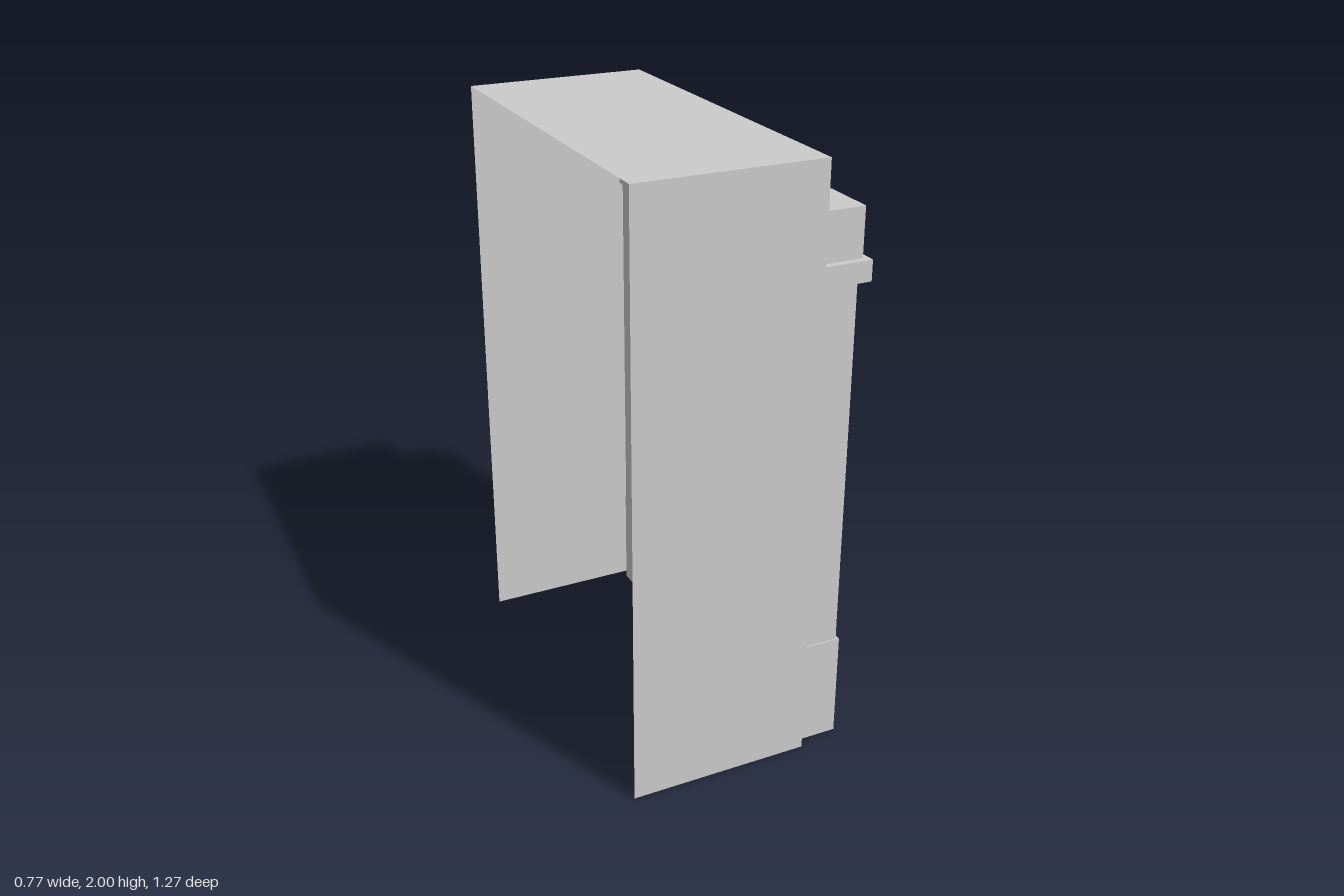
import * as THREE from 'three';

const material = new THREE.MeshStandardMaterial({ color: 0xcccccc, side: THREE.DoubleSide, flatShading: true });

const BACK = -0.39, FRONT = 0.22, HALF = 0.635, TOP = 2;
const PILLAR_BACK = 0.135;

function addMesh(parent, name, geometry) {
  const mesh = new THREE.Mesh(geometry, material);
  mesh.name = name;
  parent.add(mesh);
  return mesh;
}

// Flat four-cornered face, corners counter-clockwise seen from its front
function quad(...corners) {
  const g = new THREE.BufferGeometry();
  g.setAttribute('position', new THREE.Float32BufferAttribute(corners.flat(), 3));
  g.setIndex([0, 1, 2, 0, 2, 3]);
  g.computeVertexNormals();
  return g;
}

const corners = ({ half, y0, y1 }) => [[-half, y0], [half, y0], [half, y1], [-half, y1]];

// Sheet facing +x with optional rectangular openings
function sheet(x, rect, openings = []) {
  const toPoints = (r) => corners(r).map(([u, v]) => new THREE.Vector2(u, v));
  const shape = new THREE.Shape(toPoints(rect));
  openings.forEach((o) => shape.holes.push(new THREE.Path(toPoints(o).reverse())));
  return new THREE.ShapeGeometry(shape).rotateY(Math.PI / 2).translate(x, 0, 0);
}

// Four sides of a recess running back from xFront to xBack
function addReveal(parent, name, rect, xFront, xBack) {
  const pts = corners(rect);
  pts.forEach(([u, v], i) => {
    const [u2, v2] = pts[(i + 1) % 4];
    addMesh(parent, name, quad([xFront, v, -u], [xFront, v2, -u2], [xBack, v2, -u2], [xBack, v, -u]));
  });
}

// Solid from a (z, y) outline, reaching forward to xFront
function addProfile(parent, name, outline, xFront) {
  const shape = new THREE.Shape(outline.map(([z, y]) => new THREE.Vector2(-z, y)));
  const g = new THREE.ExtrudeGeometry(shape, { depth: xFront - PILLAR_BACK, bevelEnabled: false });
  addMesh(parent, name, g.rotateY(Math.PI / 2).translate(PILLAR_BACK, 0, 0));
}

function createPillar(side) {
  const pillar = new THREE.Group();
  pillar.name = side > 0 ? 'frontPillar' : 'rearPillar';
  const add = (name, outline, x) => addProfile(pillar, name, outline.map(([z, y]) => [z * side, y]), x);
  const block = (z0, z1, y0, y1) => [[z0, y0], [z1, y0], [z1, y1], [z0, y1]];
  // Base with a sloping toe on the inner side
  add('pillarBase', [[0.17, 0], [0.6, 0], [0.6, 0.365], [0.32, 0.365], [0.32, 0.21], [0.17, 0.09]], 0.365);
  add('pillarShaft', block(0.327, 0.595, 0.365, 1.61), 0.355);
  add('pillarCollar', block(0.3, 0.623, 1.61, 1.677), 0.385);
  // Capital leaning inward
  add('pillarCapital', [[0.32, 1.677], [0.6, 1.677], [0.6, 1.835], [0.28, 1.835]], 0.365);
  return pillar;
}

export function createModel() {
  const model = new THREE.Group();
  model.name = 'pillaredWallSection';

  // Housing, open at the back and below
  const housing = new THREE.Group();
  housing.name = 'housing';
  model.add(housing);
  addMesh(housing, 'roof', quad([BACK, TOP, HALF], [FRONT, TOP, HALF], [FRONT, TOP, -HALF], [BACK, TOP, -HALF]));
  addMesh(housing, 'sideWall', quad([BACK, 0, HALF], [FRONT, 0, HALF], [FRONT, TOP, HALF], [BACK, TOP, HALF]));
  addMesh(housing, 'sideWall', quad([FRONT, 0, -HALF], [BACK, 0, -HALF], [BACK, TOP, -HALF], [FRONT, TOP, -HALF]));

  // Face with a two-step main recess and a shallow upper one
  const main = { half: 0.3, y0: 0.26, y1: 1.525, x: 0.157 };
  const inner = { half: 0.225, y0: 0.477, y1: 1.45, x: 0.133 };
  const upper = { half: 0.167, y0: 1.635, y1: 1.895, x: 0.193 };
  addMesh(housing, 'faceWall', sheet(FRONT, { half: HALF, y0: 0, y1: TOP }, [main, upper]));
  addReveal(housing, 'mainRecessSide', main, FRONT, main.x);
  addMesh(housing, 'mainRecessFrame', sheet(main.x, main, [inner]));
  addReveal(housing, 'innerPanelSide', inner, main.x, inner.x);
  addMesh(housing, 'innerPanel', sheet(inner.x, inner));
  addReveal(housing, 'upperRecessSide', upper, FRONT, upper.x);
  addMesh(housing, 'upperPanel', sheet(upper.x, upper));

  // Mirrored pair of pillars
  [1, -1].forEach((side) => model.add(createPillar(side)));
  return model;
}
